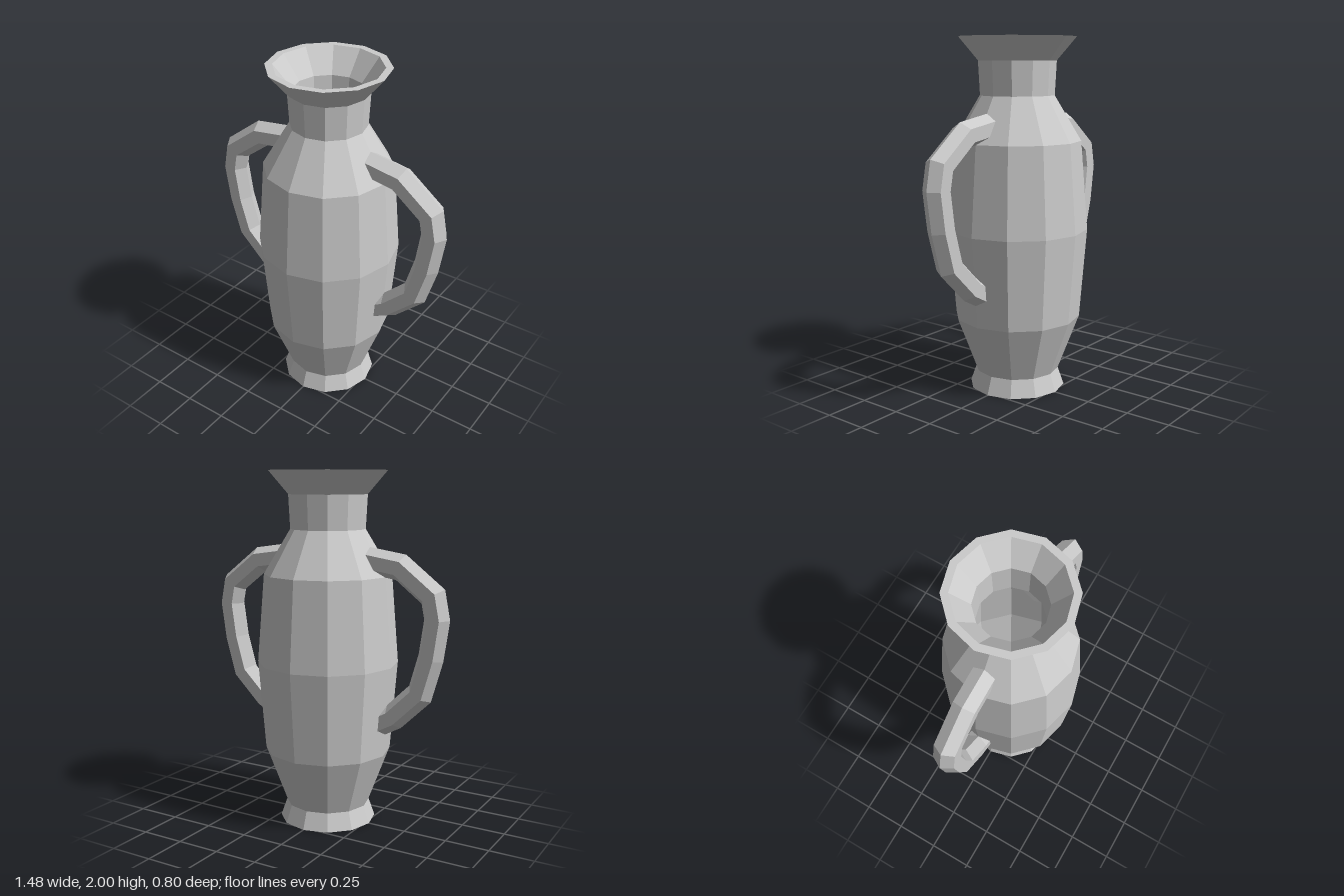
import * as THREE from 'three';

const material = new THREE.MeshStandardMaterial({ color: 0xcccccc, flatShading: true });

// Hexagonal bar swept along a polyline in the XY plane, with mitred corners
function sweptBar(path, radius, sides = 6) {
  const pts = path.map(([x, y]) => new THREE.Vector2(x, y));
  const last = pts.length - 1;
  const positions = [];
  const index = [];
  pts.forEach((p, i) => {
    const after = pts[Math.min(i + 1, last)].clone().sub(pts[Math.min(i, last - 1)]).normalize();
    const before = pts[Math.max(i, 1)].clone().sub(pts[Math.max(i - 1, 0)]).normalize();
    const t = before.clone().add(after).normalize();
    const r = radius / t.dot(after);
    for (let k = 0; k < sides; k++) {
      const a = (k / sides) * Math.PI * 2;
      const out = r * Math.cos(a);
      positions.push(p.x - t.y * out, p.y + t.x * out, radius * Math.sin(a));
    }
  });
  for (let i = 0; i < last; i++) {
    for (let k = 0; k < sides; k++) {
      const a = i * sides + k;
      const b = i * sides + ((k + 1) % sides);
      index.push(a, b, b + sides, a, b + sides, a + sides);
    }
  }
  // End caps
  const end = last * sides;
  for (let k = 1; k < sides - 1; k++) {
    index.push(0, k + 1, k, end, end + k, end + k + 1);
  }
  const geometry = new THREE.BufferGeometry();
  geometry.setAttribute('position', new THREE.Float32BufferAttribute(positions, 3));
  geometry.setIndex(index);
  geometry.computeVertexNormals();
  return geometry;
}

export function createModel() {
  const group = new THREE.Group();
  group.name = 'vase';

  // Hollow twelve-sided body: up the outside, over the lip, down the inside
  const outside = [
    [0, 0], [0.275, 0], [0.24, 0.1], [0.36, 0.42], [0.4, 0.93],
    [0.36, 1.43], [0.21, 1.68], [0.22, 1.87], [0.33, 2],
  ];
  const inside = [
    [0.29, 2], [0.19, 1.87], [0.18, 1.68], [0.32, 1.42],
    [0.36, 0.93], [0.32, 0.43], [0.2, 0.1], [0, 0.1],
  ];
  const profile = [...outside, ...inside].map(([x, y]) => new THREE.Vector2(x, y));
  const body = new THREE.Mesh(new THREE.LatheGeometry(profile, 12), material);
  body.name = 'body';
  group.add(body);

  // Pair of looped handles, the ends sunk into the body
  const handlePath = [
    [0.255, 1.518], [0.453, 1.489], [0.642, 1.345], [0.667, 1.222],
    [0.637, 1.015], [0.578, 0.81], [0.423, 0.66], [0.32, 0.605],
  ];
  const handleGeometry = sweptBar(handlePath, 0.073);
  for (const [name, turn] of [['leftHandle', 0], ['rightHandle', Math.PI]]) {
    const handle = new THREE.Mesh(handleGeometry, material);
    handle.name = name;
    handle.rotation.y = turn;
    group.add(handle);
  }

  return group;
}
